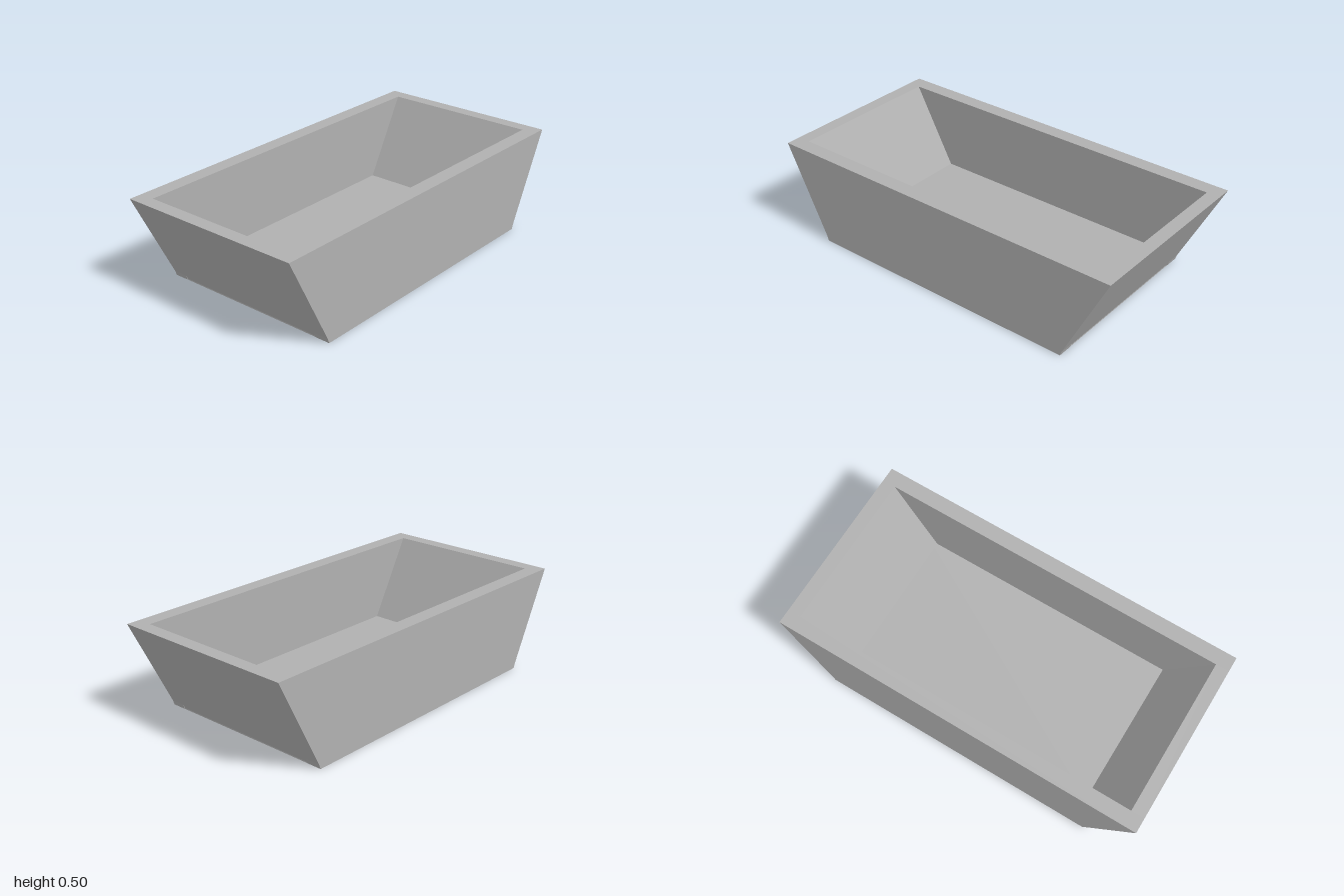
import * as THREE from 'three';

const HALF_WIDTH = 0.5, WALL = 0.08, HEIGHT = 0.5, FLOOR = 0.08;
const INNER = HALF_WIDTH - WALL;

// Extrudes a (z, y) outline along x, centred on x = 0
function extrudeAcross(points, width) {
  const shape = new THREE.Shape(points.map(([z, y]) => new THREE.Vector2(z, y)));
  const geometry = new THREE.ExtrudeGeometry(shape, { depth: width, bevelEnabled: false });
  geometry.translate(0, 0, -width / 2);
  geometry.rotateY(-Math.PI / 2);
  return geometry;
}

export function createModel() {
  const group = new THREE.Group();
  group.name = 'trough';
  const grey = new THREE.MeshStandardMaterial({ color: 0xb0b0b0 });
  grey.name = 'grey';

  const add = (name, geometry) => {
    const mesh = new THREE.Mesh(geometry, grey);
    mesh.name = name;
    group.add(mesh);
    return mesh;
  };

  // Floor slab, its ends just showing below the sloping walls
  add('floor', new THREE.BoxGeometry(INNER * 2, FLOOR, 1.506)).position.y = FLOOR / 2;

  // Trapezoid side walls with a tiny upright lip at the lower corners
  const side = extrudeAcross([
    [-0.754, 0], [0.754, 0], [0.7625, 0.025], [1, HEIGHT], [-1, HEIGHT], [-0.7625, 0.025],
  ], WALL);
  add('leftWall', side).position.x = HALF_WIDTH - WALL / 2;
  add('rightWall', side).position.x = -(HALF_WIDTH - WALL / 2);

  // Sloping end walls
  const end = extrudeAcross([
    [0.7, 0], [0.75, 0], [1, HEIGHT], [0.93, HEIGHT], [0.7, FLOOR],
  ], INNER * 2);
  add('frontWall', end);
  add('backWall', end).rotation.y = Math.PI;

  return group;
}
